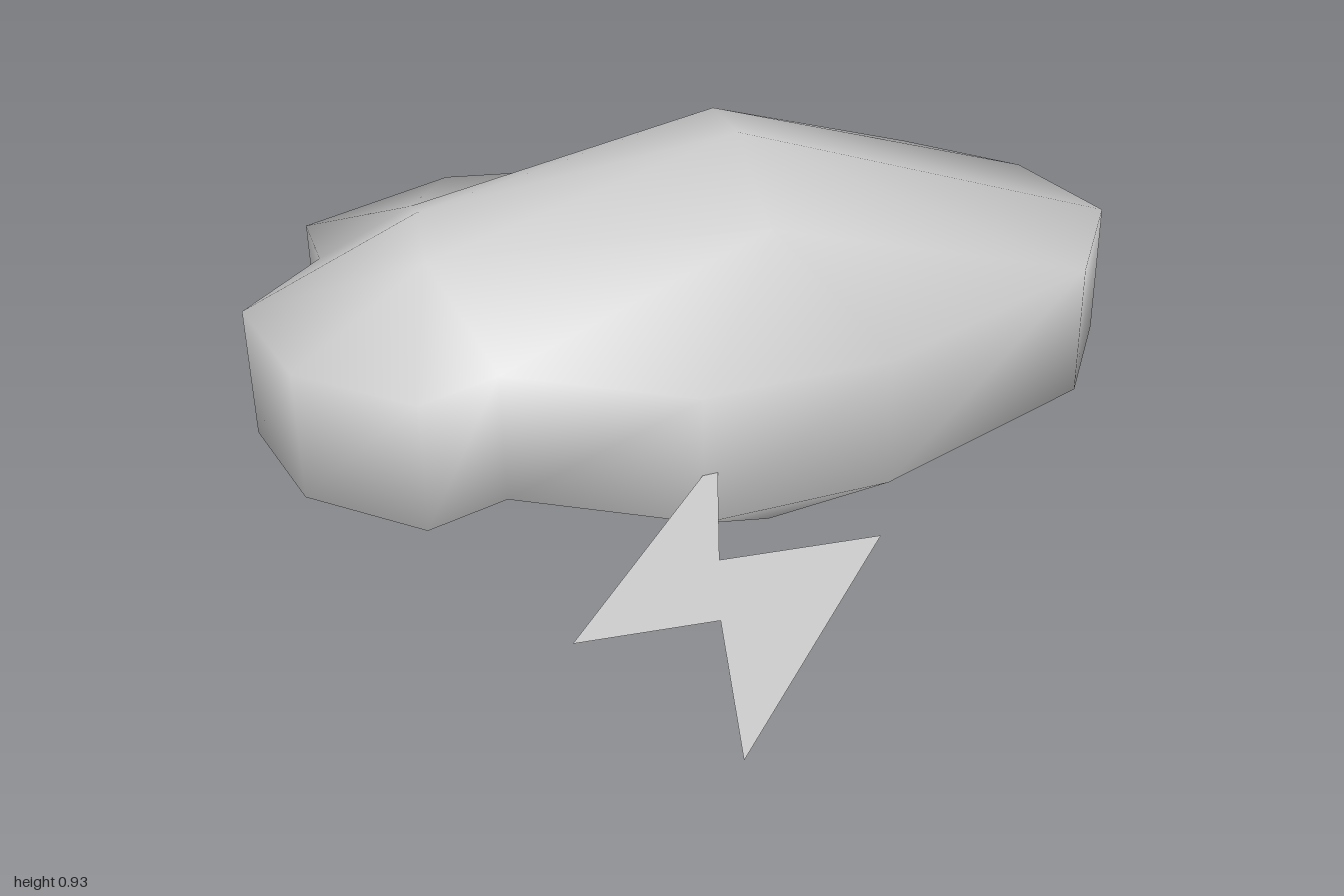
import * as THREE from 'three';

// Outline of the cloud seen from above: x, z, and the crown point it leans to
const RIM = [
  [-1, -0.49, 1], [-0.81, -0.67, 2], [-0.825, -0.82, 2], [-0.476, -0.965, 2], [-0.134, -0.925, 3],
  [0.305, -0.957, 3], [0.64, -0.877, 3], [0.877, -0.7, 3], [1, -0.455, 4], [0.872, -0.214, 5],
  [0.348, 0.03, 5], [-0.086, 0.077, 5], [-0.487, -0.107, 0], [-0.674, -0.037, 0], [-0.92, -0.22, 0],
];
// Crown points, going round: three on the low end, three on the high end
const CROWN = [
  [-0.6, 0.78, -0.36], [-0.6, 0.83, -0.485], [-0.6, 0.78, -0.6],
  [0.13, 0.858, -0.745], [0.13, 0.93, -0.495], [0.13, 0.86, -0.19],
];
const RIM_Y = 0.63, HEIGHT = 0.93;

function cloudGeometry() {
  const n = RIM.length, half = n + CROWN.length;
  const pos = [], idx = [];
  // Upper half, then its mirror image below
  for (const flip of [false, true]) {
    const y = (v) => (flip ? HEIGHT - v : v);
    for (const [x, z] of RIM) pos.push(x, y(RIM_Y), z);
    for (const p of CROWN) pos.push(p[0], y(p[1]), p[2]);
    const o = flip ? half : 0;
    const tri = (a, b, c) => idx.push(o + a, o + (flip ? c : b), o + (flip ? b : c));
    for (let i = 0; i < n; i++) {
      const j = (i + 1) % n, a = n + RIM[i][2], b = n + RIM[j][2];
      tri(j, i, a);
      if (a !== b) tri(j, a, b);
    }
    // Ridge between the two ends
    tri(n, n + 5, n + 4); tri(n, n + 4, n + 1);
    tri(n + 1, n + 4, n + 3); tri(n + 1, n + 3, n + 2);
  }
  // Upright wall round the middle
  for (let i = 0; i < n; i++) {
    const j = (i + 1) % n;
    idx.push(half + j, half + i, i, half + j, i, j);
  }
  const g = new THREE.BufferGeometry();
  g.setAttribute('position', new THREE.Float32BufferAttribute(pos, 3));
  g.setIndex(idx);
  g.computeVertexNormals();
  return g;
}

export function createModel() {
  const group = new THREE.Group();
  group.name = 'stormCloud';
  const grey = new THREE.MeshStandardMaterial({ color: 0xcccccc, side: THREE.DoubleSide });
  grey.name = 'lightGrey';

  const cloud = new THREE.Mesh(cloudGeometry(), grey);
  cloud.name = 'cloud';

  // Flat lightning bolt lying level in front of the cloud
  const bolt = new THREE.Shape([
    [-0.04, 0.017], [-0.46, 0.553], [-0.16, 0.553], [-0.21, 0.955], [0.228, 0.365], [-0.118, 0.365],
  ].map(([x, z]) => new THREE.Vector2(x, -z)));
  const lightning = new THREE.Mesh(new THREE.ShapeGeometry(bolt).rotateX(-Math.PI / 2), grey);
  lightning.position.y = 0.43;
  lightning.name = 'lightningBolt';

  group.add(cloud, lightning);
  return group;
}
